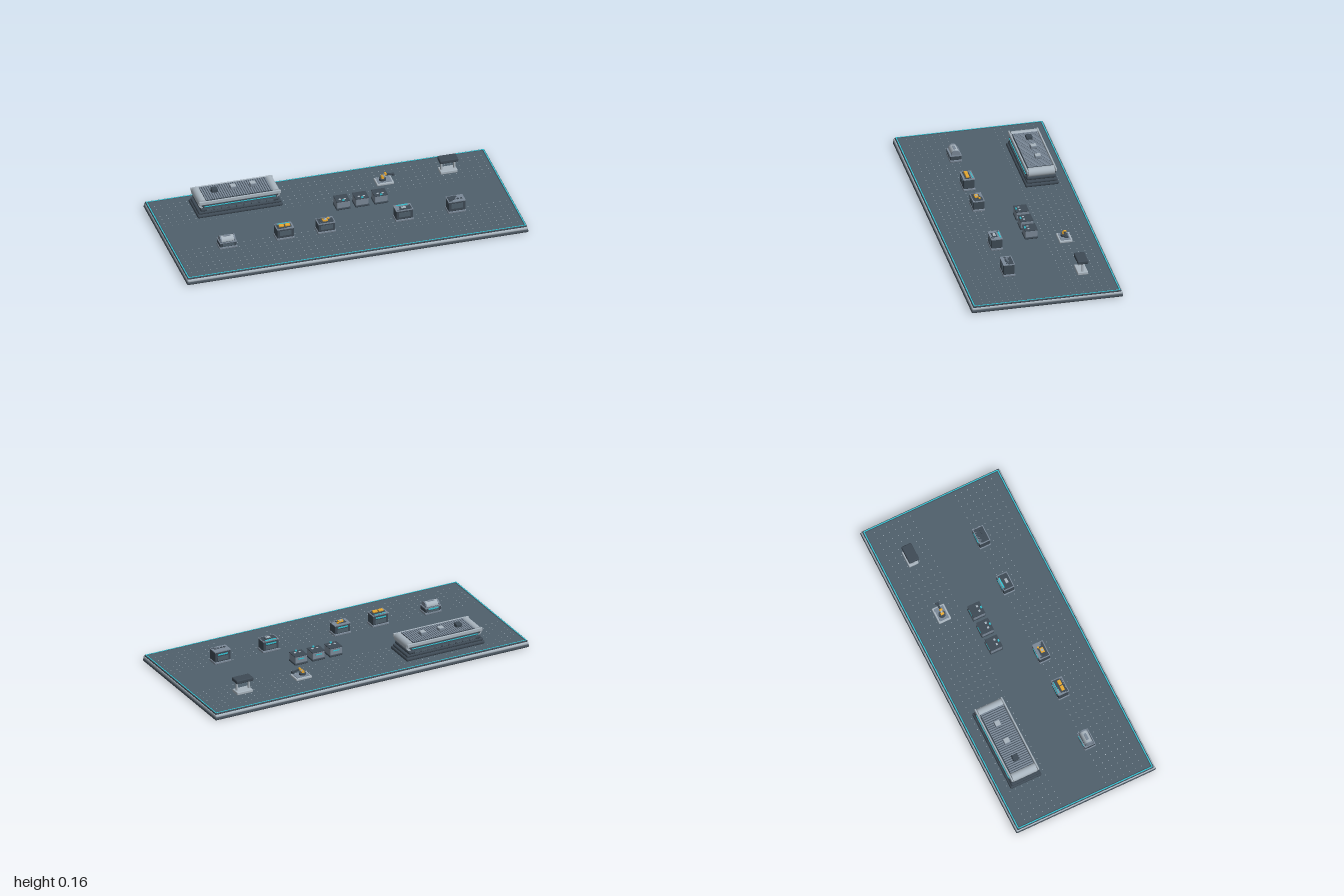
import * as THREE from 'three';
import { mergeGeometries } from 'three/addons/utils/BufferGeometryUtils.js';
import { RoundedBoxGeometry } from 'three/addons/geometries/RoundedBoxGeometry.js';

const mat = (name, color) => Object.assign(new THREE.MeshStandardMaterial({ color }), { name });

export function createModel() {
  const model = new THREE.Group();
  model.name = 'factoryFloor';
  const M = {
    under: mat('underside charcoal', 0x444f59),
    floor: mat('floor slate', 0x50606c),
    dark: mat('dark casing', 0x3e4a55),
    mid: mat('grey casing', 0x7b8998),
    light: mat('light steel', 0xa9b5bf),
    cyan: mat('cyan light', 0x33c3d3),
    amber: mat('amber', 0xe6a832),
  };
  const FLOOR = 0.041;

  const add = (parent, name, geo, m, x, y, z) => {
    const mesh = new THREE.Mesh(geo, m);
    mesh.name = name;
    mesh.position.set(x, y, z);
    parent.add(mesh);
    return mesh;
  };
  // Boxes are placed by the centre of their underside
  const box = (p, name, m, w, h, d, x, y, z) =>
    add(p, name, new THREE.BoxGeometry(w, h, d), m, x, y + h / 2, z);
  const soft = (p, name, m, w, h, d, x, y, z, r = 0.005) =>
    add(p, name, new RoundedBoxGeometry(w, h, d, 2, Math.min(r, h * 0.48)), m, x, y + h / 2, z);
  const rod = (p, name, m, r, len, x, y, z, axis = 'y', sides = 20) => {
    const g = new THREE.CylinderGeometry(r, r, len, sides);
    if (axis === 'x') g.rotateZ(Math.PI / 2);
    if (axis === 'z') g.rotateX(Math.PI / 2);
    return add(p, name, g, m, x, y, z);
  };
  const group = (name, x, z, y = FLOOR) => {
    const g = new THREE.Group();
    g.name = name;
    g.position.set(x, y, z);
    model.add(g);
    return g;
  };

  // Layered base slab
  const slab = group('baseSlab', 0, 0, 0);
  soft(slab, 'lowerSlab', M.under, 2, 0.016, 0.874, 0, 0, 0, 0.007);
  soft(slab, 'middleSlab', M.light, 1.996, 0.018, 0.87, 0, 0.014, 0, 0.008);
  box(slab, 'floorPlate', M.floor, 1.965, 0.013, 0.84, 0, 0.026, 0);
  for (const s of [-1, 1]) {
    soft(slab, 'longRim', M.dark, 1.985, 0.01, 0.016, 0, 0.03, s * 0.419, 0.004);
    soft(slab, 'shortRim', M.dark, 0.016, 0.01, 0.85, s * 0.986, 0.03, 0, 0.004);
    box(slab, 'longLightStrip', M.cyan, 1.976, 0.002, 0.006, 0, 0.039, s * 0.419);
    box(slab, 'shortLightStrip', M.cyan, 0.006, 0.002, 0.838, s * 0.987, 0.039, 0);
  }

  // Small studs in two bands of the floor
  const studs = [];
  for (let i = 0; i < 52; i++) {
    for (let j = 0; j < 7; j++) {
      for (const s of [-1, 1]) {
        const x = -0.956 + i * 0.0375, z = s * (0.14 + j * 0.0375);
        if (s > 0 && x > 0.25 && x < 0.55 && j > 3) continue;
        studs.push(new THREE.BoxGeometry(0.004, 0.001, 0.004).translate(x, 0.039, z));
      }
    }
  }
  add(slab, 'floorStuds', mergeGeometries(studs), M.light, 0, 0, 0);

  // Large conveyor machine
  const conv = group('conveyor', -0.511, -0.258);
  soft(conv, 'plinth', M.dark, 0.5, 0.02, 0.194, 0, 0, 0, 0.009);
  soft(conv, 'lowerTier', M.dark, 0.485, 0.016, 0.176, 0, 0.019, 0, 0.007);
  soft(conv, 'upperTier', M.dark, 0.46, 0.02, 0.172, 0, 0.034, 0, 0.009);
  box(conv, 'bed', M.mid, 0.43, 0.04, 0.145, 0, 0.053, 0);
  box(conv, 'belt', M.dark, 0.39, 0.008, 0.145, 0, 0.092, 0);
  const slats = 30;
  for (let i = 0; i < slats; i++)
    box(conv, 'slat', M.mid, 0.0085, 0.004, 0.142, -0.19 + (0.38 * i) / (slats - 1), 0.098, 0);
  for (const s of [-1, 1]) {
    rod(conv, 'endRoller', M.light, 0.026, 0.15, s * 0.214, 0.078, 0, 'z', 28);
    rod(conv, 'rollerHub', M.dark, 0.012, 0.168, s * 0.214, 0.078, 0, 'z');
    soft(conv, 'sideRail', M.light, 0.48, 0.022, 0.01, 0, 0.078, s * 0.082, 0.004);
    box(conv, 'railLight', M.cyan, 0.42, 0.004, 0.004, 0, 0.066, s * 0.087);
    box(conv, 'lightBacking', M.dark, 0.43, 0.014, 0.014, 0, 0.06, s * 0.078);
    for (let i = 0; i < 9; i++)
      box(conv, 'sidePanel', M.floor, 0.036, 0.009, 0.004, -0.176 + i * 0.044, 0.04, s * 0.0865);
  }
  [-0.124, -0.014, 0.101].forEach((x, i) => {
    soft(conv, 'parcel', i ? M.mid : M.dark, 0.036, 0.018, 0.036, x, 0.102, -0.008, 0.003);
    box(conv, 'parcelLid', i ? M.light : M.dark, 0.03, 0.002, 0.03, x, 0.1195, -0.008);
  });

  // Workstations in the front row share a plinth, cabinet and status strip
  const station = (name, x, h) => {
    const g = group(name, x, 0.154);
    soft(g, 'plinth', M.mid, 0.106, 0.014, 0.07, 0, 0, 0, 0.004);
    soft(g, 'cabinet', M.dark, 0.098, h - 0.012, 0.064, 0, 0.012, 0, 0.004);
    box(g, 'topPlate', M.mid, 0.1, 0.005, 0.066, 0, h - 0.005, 0);
    box(g, 'frontPanel', M.floor, 0.068, h * 0.4, 0.004, 0, h * 0.4, 0.032);
    box(g, 'backPanel', M.floor, 0.068, h * 0.3, 0.004, 0, h * 0.28, -0.032);
    box(g, 'statusStrip', M.cyan, 0.064, 0.007, 0.004, 0, h * 0.7, -0.033);
    return g;
  };

  const press = station('drumStation', -0.685, 0.042);
  rod(press, 'drum', M.light, 0.024, 0.084, 0, 0.044, 0, 'x', 24);
  for (const s of [-1, 1]) rod(press, 'drumBand', M.mid, 0.026, 0.008, s * 0.04, 0.044, 0, 'x', 24);
  box(press, 'drumHatch', M.mid, 0.04, 0.003, 0.014, 0, 0.067, 0);

  const oven = station('heaterStation', -0.35, 0.073);
  box(oven, 'burnerTray', M.dark, 0.08, 0.003, 0.036, 0, 0.072, 0.004);
  for (const s of [-1, 1]) soft(oven, 'burner', M.amber, 0.03, 0.011, 0.02, s * 0.018, 0.074, 0.005, 0.003);
  box(oven, 'topLight', M.cyan, 0.07, 0.003, 0.005, 0, 0.072, -0.024);

  const bench = station('assemblyStation', -0.108, 0.066);
  box(bench, 'tray', M.dark, 0.054, 0.003, 0.036, -0.005, 0.065, 0.002);
  box(bench, 'amberBlock', M.amber, 0.03, 0.008, 0.022, -0.004, 0.067, 0.004);
  rod(bench, 'amberKnob', M.amber, 0.006, 0.008, 0.02, 0.07, -0.01, 'y', 12);
  box(bench, 'toolBlock', M.light, 0.014, 0.005, 0.012, -0.004, 0.073, 0.004);

  const scan = station('scannerStation', 0.348, 0.072);
  box(scan, 'topLight', M.cyan, 0.066, 0.003, 0.008, 0, 0.0715, -0.024);
  box(scan, 'scannerRecess', M.dark, 0.048, 0.003, 0.03, 0, 0.071, 0.006);
  box(scan, 'scannerPlate', M.light, 0.028, 0.004, 0.016, 0, 0.073, 0.006);

  const control = station('controlStation', 0.655, 0.077);
  for (let i = 0; i < 4; i++)
    box(control, 'button', M.dark, 0.012, 0.004, 0.011, -0.03 + i * 0.02, 0.076, 0.008);

  // Three matching storage bins
  for (const x of [0.052, 0.163, 0.274]) {
    const g = group('storageBin', x, -0.064);
    soft(g, 'plinth', M.dark, 0.082, 0.012, 0.078, 0, 0, 0, 0.004);
    soft(g, 'body', M.mid, 0.076, 0.042, 0.072, 0, 0.01, 0, 0.004);
    box(g, 'lid', M.dark, 0.078, 0.004, 0.074, 0, 0.0505, 0);
    for (const s of [-1, 1]) box(g, 'lidLatch', M.light, 0.012, 0.003, 0.011, s * 0.015, 0.0535, 0.012);
    box(g, 'signalLamp', M.cyan, 0.012, 0.008, 0.009, 0, 0.053, 0.03);
    box(g, 'backLight', M.cyan, 0.04, 0.006, 0.003, 0, 0.034, -0.0365);
  }

  // Robot arm cell
  const robot = group('robotCell', 0.352, -0.244);
  soft(robot, 'plinth', M.light, 0.1, 0.014, 0.076, 0, 0, 0, 0.004);
  box(robot, 'deck', M.mid, 0.08, 0.005, 0.056, 0, 0.012, 0);
  rod(robot, 'turntable', M.dark, 0.02, 0.012, -0.008, 0.022, 0);
  rod(robot, 'shoulder', M.amber, 0.009, 0.02, -0.008, 0.035, 0, 'z');
  const upper = box(robot, 'upperArm', M.light, 0.011, 0.026, 0.011, 0, 0.03, 0);
  upper.rotation.z = -0.6;
  rod(robot, 'elbow', M.amber, 0.007, 0.016, 0.009, 0.054, 0, 'z');
  const fore = box(robot, 'foreArm', M.dark, 0.044, 0.008, 0.009, 0.03, 0.044, 0);
  fore.rotation.z = -0.2;
  box(robot, 'gripper', M.dark, 0.012, 0.01, 0.02, 0.054, 0.038, 0);

  // Inspection arch with a canopy over a light table
  const arch = group('inspectionArch', 0.73, -0.254);
  soft(arch, 'table', M.light, 0.1, 0.018, 0.06, 0, 0, 0, 0.004);
  for (const s of [-1, 1]) box(arch, 'post', M.light, 0.009, 0.06, 0.011, s * 0.038, 0.014, 0);
  soft(arch, 'canopy', M.dark, 0.108, 0.022, 0.062, 0, 0.07, 0, 0.006);
  box(arch, 'canopyLamp', M.cyan, 0.08, 0.003, 0.008, 0, 0.0685, 0);

  return model;
}
